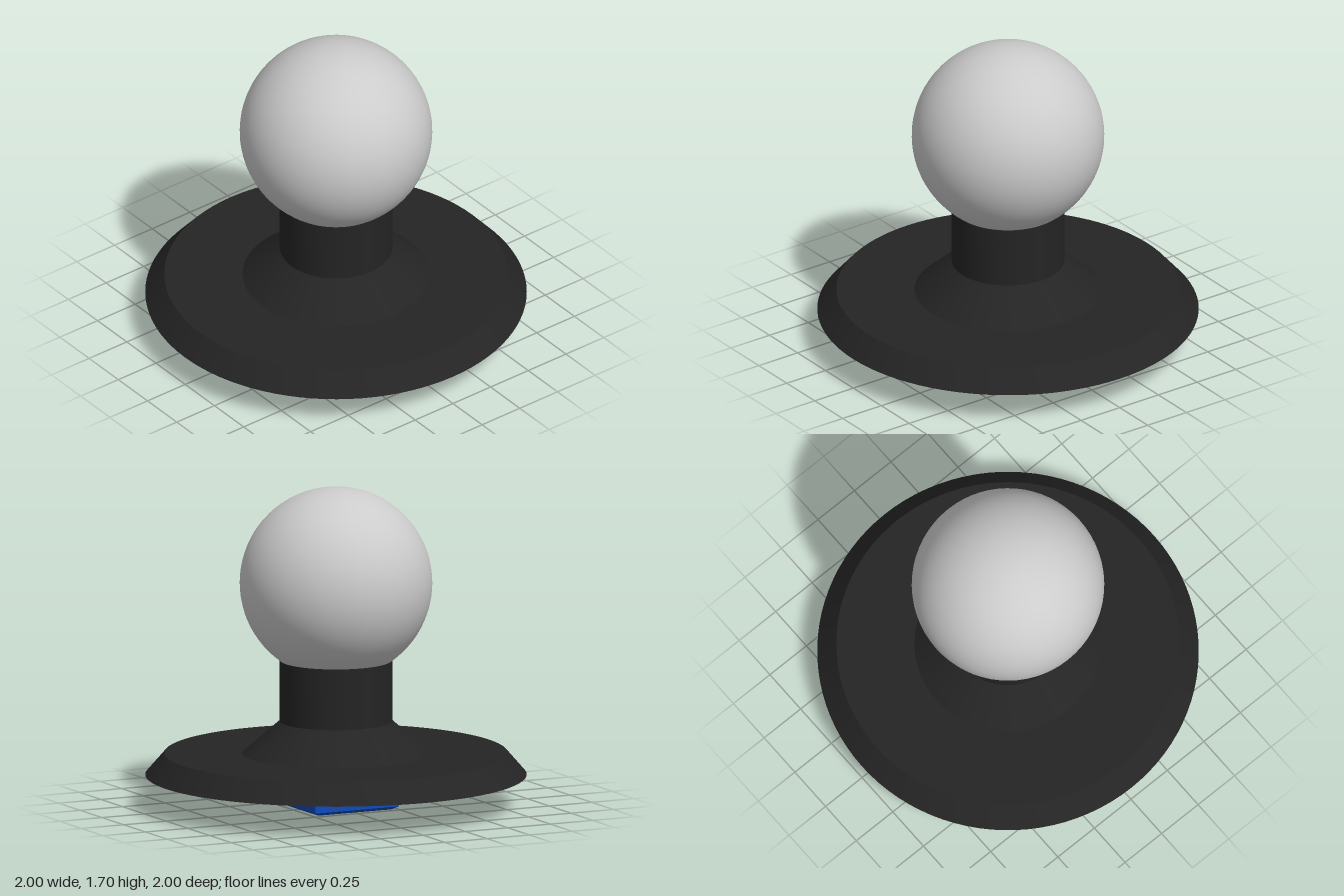
import * as THREE from 'three';
import { toCreasedNormals } from 'three/addons/utils/BufferGeometryUtils.js';

const grey = new THREE.MeshStandardMaterial({ color: 0xcccccc });
const black = new THREE.MeshStandardMaterial({ color: 0x242424 });
const blue = new THREE.MeshStandardMaterial({ color: 0x0f4bbc });

// Turned solid from [radius, height] pairs, with sharp edges kept
function turned(profile, segments, start = 0) {
  const points = profile.map(([r, y]) => new THREE.Vector2(r, y));
  return toCreasedNormals(new THREE.LatheGeometry(points, segments, start), 0.35);
}

export function createModel() {
  const model = new THREE.Group();
  const add = (name, geometry, material, x = 0, y = 0, z = 0, parent = model) => {
    const mesh = new THREE.Mesh(geometry, material);
    mesh.name = name;
    mesh.position.set(x, y, z);
    parent.add(mesh);
    return mesh;
  };

  // Ball on top
  add('ball', new THREE.SphereGeometry(0.505, 64, 40), grey, 0, 1.19, 0);

  // Bevelled disc, flared collar and neck in one turned body
  add('base', turned([
    [0, 0.17], [1, 0.17], [0.9, 0.285], [0.49, 0.285],
    [0.295, 0.455], [0.295, 0.778], [0, 0.778],
  ], 96), black);

  // Square socket below: four-sided, chamfered rim, hollow inside
  const socket = new THREE.Group();
  socket.name = 'socket';
  model.add(socket);
  const square = [
    [0, 0.12], [0.17, 0.12], [0.17, 0], [0.215, 0], [0.245, 0.018], [0.245, 0.172],
  ].map(([half, y]) => [half * Math.SQRT2, y]);
  add('socketShell', turned(square, 4, Math.PI / 4), blue, 0, 0, 0, socket);

  // Four pins inside the socket
  for (const x of [-0.065, 0.065]) {
    for (const z of [-0.065, 0.065]) {
      add('socketPin', new THREE.CylinderGeometry(0.035, 0.035, 0.1, 20), blue, x, 0.075, z, socket);
    }
  }
  return model;
}
